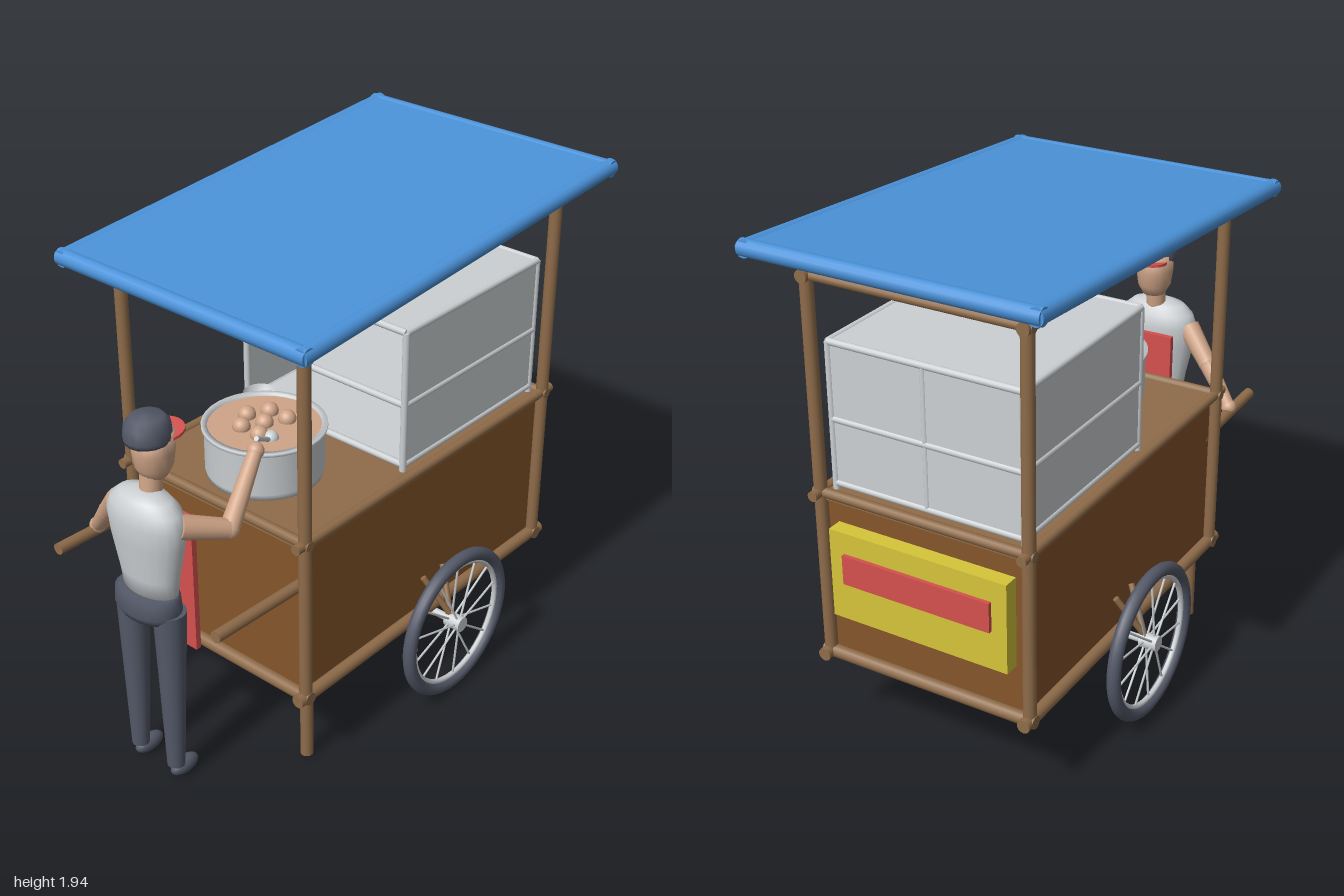
import * as THREE from 'three';

const mat = (name, color, side = THREE.FrontSide) => {
  const m = new THREE.MeshStandardMaterial({ color, side });
  m.name = name;
  return m;
};
const V = (x, y, z) => new THREE.Vector3(x, y, z);

export function createModel() {
  const wood = mat('light wood', 0x8f6c4a);
  const brown = mat('brown panel', 0x85552a);
  const blue = mat('blue canopy', 0x4b93da);
  const metal = mat('pale metal', 0xccd0d3, THREE.DoubleSide);
  const slate = mat('dark slate', 0x545968);
  const skin = mat('skin', 0xd0a588);
  const red = mat('red', 0xd5514e);
  const yellow = mat('yellow', 0xd6c53a);

  const model = new THREE.Group();
  model.name = 'streetFoodCart';
  const group = (name, parent = model) => {
    const g = new THREE.Group();
    g.name = name;
    parent.add(g);
    return g;
  };
  const add = (parent, name, geo, material, x = 0, y = 0, z = 0) => {
    const m = new THREE.Mesh(geo, material);
    m.name = name;
    m.position.set(x, y, z);
    parent.add(m);
    return m;
  };
  const box = (parent, name, material, w, h, d, x, y, z) =>
    add(parent, name, new THREE.BoxGeometry(w, h, d), material, x, y, z);
  // Round bar from a to b, optionally tapered
  const rod = (parent, name, material, a, b, r0, r1 = r0, sides = 14) => {
    const d = b.clone().sub(a);
    const m = add(parent, name, new THREE.CylinderGeometry(r1, r0, d.length(), sides), material);
    m.position.copy(a).addScaledVector(d, 0.5);
    m.quaternion.setFromUnitVectors(V(0, 1, 0), d.normalize());
    return m;
  };
  const ball = (parent, name, material, r, x, y, z) =>
    add(parent, name, new THREE.SphereGeometry(r, 16, 12), material, x, y, z);
  const lathe = (parent, name, material, pts, x, y, z, sides = 24) =>
    add(parent, name, new THREE.LatheGeometry(pts.map(p => new THREE.Vector2(...p)), sides), material, x, y, z);

  // Cart body
  const cart = group('cartBody');
  box(cart, 'bodyPanels', brown, 0.81, 0.63, 1.37, 0, 0.66, -0.13);
  box(cart, 'counterTop', wood, 0.85, 0.03, 1.41, 0, 0.99, -0.13);
  box(cart, 'baseBoard', wood, 0.85, 0.03, 1.41, 0, 0.345, -0.13);

  // Timber frame: posts and three rings of rails
  const frame = group('frame');
  const zF = 0.565, zB = -0.83, px = 0.42;
  for (const s of [-1, 1]) {
    rod(frame, 'frontPost', wood, V(s * px, 0.33, zF), V(s * px, 1.8, zF), 0.024);
    rod(frame, 'rearPost', wood, V(s * px, 0.33, zB), V(s * px, 1.835, zB), 0.024);
    rod(frame, 'frontLeg', wood, V(s * 0.37, 0.015, 0.505), V(s * 0.37, 0.35, 0.505), 0.024);
    rod(frame, 'pushHandle', wood, V(s * 0.385, 0.81, 0.53), V(s * 0.385, 0.827, 0.97), 0.022);
  }
  for (const [y, r, over] of [[0.345, 0.025, 0.045], [1.0, 0.019, 0.05], [1.803, 0.024, 0.03]]) {
    for (const s of [-1, 1])
      rod(frame, 'sideRail', wood, V(s * px, y, Math.min(zF + over, y > 1.5 ? zF : 9)), V(s * px, y, zB - over), r);
    for (const z of [zF, zB])
      rod(frame, 'crossRail', wood, V(-px - 0.025, y, z), V(px + 0.025, y, z), y > 1.5 ? 0.018 : r);
  }

  // Rear sign panel
  box(cart, 'signBoard', yellow, 0.72, 0.35, 0.06, 0, 0.715, -0.845);
  box(cart, 'signStripe', red, 0.6, 0.115, 0.02, 0, 0.75, -0.88);

  // Sloping canopy with rolled edges
  const roof = group('canopy');
  roof.position.set(0, 1.864, -0.134);
  roof.rotation.x = 0.061;
  box(roof, 'canopySheet', blue, 1.1, 0.052, 1.69, 0, 0, 0);
  for (const s of [-1, 1]) {
    rod(roof, 'canopySideEdge', blue, V(s * 0.54, 0, -0.855), V(s * 0.54, 0, 0.855), 0.031);
    rod(roof, 'canopyEndEdge', blue, V(-0.56, 0, s * 0.835), V(0.56, 0, s * 0.835), 0.031);
  }

  // Wheels, axle and struts
  const wy = 0.318, wz = -0.165;
  for (const s of [-1, 1]) {
    const wheel = group(s > 0 ? 'leftWheel' : 'rightWheel');
    wheel.position.set(s * 0.535, wy, wz);
    add(wheel, 'tyre', new THREE.TorusGeometry(0.28, 0.026, 12, 48), slate).rotation.y = Math.PI / 2;
    add(wheel, 'rim', new THREE.TorusGeometry(0.252, 0.011, 8, 48), metal).rotation.y = Math.PI / 2;
    rod(wheel, 'hub', metal, V(-0.035, 0, 0), V(0.035, 0, 0), 0.03);
    for (let i = 0; i < 14; i++) {
      const a = (i / 14) * Math.PI * 2;
      rod(wheel, 'spoke', metal, V((i % 2 ? 1 : -1) * 0.018, 0, 0),
        V(0, Math.cos(a) * 0.25, Math.sin(a) * 0.25), 0.0045, 0.0045, 6);
    }
    for (const dz of [-0.06, 0.06])
      rod(model, 'wheelStrut', wood, V(s * 0.42, 0.5, wz + dz), V(s * 0.51, 0.34, wz), 0.012);
  }
  rod(model, 'axle', metal, V(-0.55, wy, wz), V(0.55, wy, wz), 0.015);

  // Display cabinet, open towards the vendor
  const cab = group('cabinet');
  const cx = 0.38, c0 = -0.01, c1 = -0.79, yB = 1.03, yM = 1.275, yT = 1.56;
  const cz = (c0 + c1) / 2, cd = c0 - c1;
  for (const s of [-1, 1]) box(cab, 'cabinetSide', metal, 0.012, yT - yB, cd, s * cx, (yT + yB) / 2, cz);
  box(cab, 'cabinetBack', metal, cx * 2, yT - yB, 0.012, 0, (yT + yB) / 2, c1);
  for (const y of [yB, yM, yT]) {
    box(cab, 'cabinetShelf', metal, cx * 2, 0.014, cd, 0, y, cz);
    for (const s of [-1, 1]) rod(cab, 'sideTrim', metal, V(s * cx, y, c0), V(s * cx, y, c1), 0.013);
    for (const z of [c0, c1]) rod(cab, 'crossTrim', metal, V(-cx, y, z), V(cx, y, z), 0.013);
  }
  for (const z of [c0, c1])
    for (const s of [-1, 1]) rod(cab, 'cornerTrim', metal, V(s * cx, 1.0, z), V(s * cx, yT, z), 0.013);
  rod(cab, 'backDivider', metal, V(0, yB, c1), V(0, yT, c1), 0.011);

  // Goods on the shelf
  const goods = group('shelfGoods');
  const bottle = [[0, 0], [0.029, 0], [0.027, 0.11], [0.017, 0.14], [0.015, 0.19], [0, 0.19]];
  lathe(goods, 'redBottle', red, bottle, -0.185, 1.285, -0.45);
  lathe(goods, 'darkBottle', slate, bottle, -0.09, 1.285, -0.45);
  box(goods, 'yellowPacket', yellow, 0.17, 0.14, 0.12, 0.185, 1.36, -0.5);
  rod(goods, 'yellowTin', yellow, V(0.075, 1.365, -0.42), V(0.3, 1.365, -0.42), 0.038);

  // Cooking pot with dumplings
  const pot = group('cookingPot');
  pot.position.set(0, 1.0, 0.305);
  lathe(pot, 'potShell', metal, [[0, 0.005], [0.21, 0.005], [0.217, 0.03], [0.217, 0.185], [0.226, 0.19],
    [0.226, 0.202], [0.205, 0.202], [0.205, 0.17]], 0, 0, 0, 36);
  add(pot, 'broth', new THREE.CylinderGeometry(0.208, 0.208, 0.02, 36), skin, 0, 0.182, 0);
  for (let i = 0; i < 6; i++) {
    const a = i * Math.PI / 3;
    ball(pot, 'dumpling', skin, 0.033, i ? Math.cos(a) * 0.085 : 0, 0.2, i ? Math.sin(a) * 0.085 : 0);
  }
  rod(model, 'ladleHandle', metal, V(0.13, 1.265, 0.485), V(0.08, 1.185, 0.36), 0.009);
  ball(model, 'ladleBowl', metal, 0.03, 0.08, 1.19, 0.36);

  // Stack of bowls behind the pot
  for (let i = 0; i < 4; i++)
    lathe(model, 'bowl', metal, [[0, 0], [0.03, 0], [0.055, 0.025], [0.066, 0.055]], -0.205, 1.005 + i * 0.034, 0.105);

  // Vendor, facing the cart
  const man = group('vendor');
  const torso = lathe(man, 'shirt', metal, [[0, 0.78], [0.115, 0.79], [0.128, 0.88], [0.158, 1.02], [0.168, 1.1],
    [0.15, 1.15], [0.11, 1.185], [0.05, 1.2], [0, 1.2]], 0, 0, 0.89);
  torso.scale.z = 0.57;
  const hips = lathe(man, 'hips', slate, [[0, 0.715], [0.12, 0.715], [0.14, 0.745], [0.135, 0.8], [0.118, 0.812], [0, 0.812]],
    0, 0, 0.905);
  hips.scale.z = 0.66;
  for (const s of [-1, 1]) {
    rod(man, 'trouserLeg', slate, V(s * 0.092, 0.07, 0.905), V(s * 0.092, 0.75, 0.895), 0.033, 0.06, 16);
    const shoe = ball(man, 'shoe', slate, 0.034, s * 0.092, 0.04, 0.865);
    shoe.scale.set(0.9, 1, 1.9);
  }
  box(man, 'apron', red, 0.23, 0.55, 0.022, 0, 0.81, 0.787);

  // Head and cap
  rod(man, 'neck', skin, V(0, 1.17, 0.865), V(0, 1.27, 0.855), 0.04);
  const head = lathe(man, 'head', skin, [[0, 1.235], [0.045, 1.24], [0.066, 1.28], [0.074, 1.34], [0.074, 1.41], [0, 1.42]],
    0, 0, 0.842, 16);
  head.scale.z = 1.03;
  const cap = lathe(man, 'cap', slate, [[0, 1.382], [0.076, 1.382], [0.08, 1.4], [0.076, 1.445], [0.055, 1.472], [0, 1.48]],
    0, 0, 0.862, 16);
  cap.scale.z = 1.08;
  const brim = add(man, 'capBrim', new THREE.CylinderGeometry(0.072, 0.072, 0.01, 20), red, 0, 1.388, 0.79);
  brim.rotation.x = 0.1;

  // Arms: one rests on the handle, the other holds the ladle
  const arm = (name, shoulder, elbow, hand) => {
    const g = group(name, man);
    rod(g, 'upperArm', skin, shoulder, elbow, 0.045, 0.036);
    ball(g, 'elbow', skin, 0.037, ...elbow.toArray());
    rod(g, 'forearm', skin, elbow, hand, 0.036, 0.026);
    ball(g, 'hand', skin, 0.031, ...hand.toArray());
  };
  arm('rightArm', V(-0.14, 1.1, 0.885), V(-0.25, 0.985, 0.84), V(-0.38, 0.84, 0.785));
  arm('leftArm', V(0.135, 1.1, 0.87), V(0.21, 1.045, 0.71), V(0.13, 1.22, 0.49));

  return model;
}
